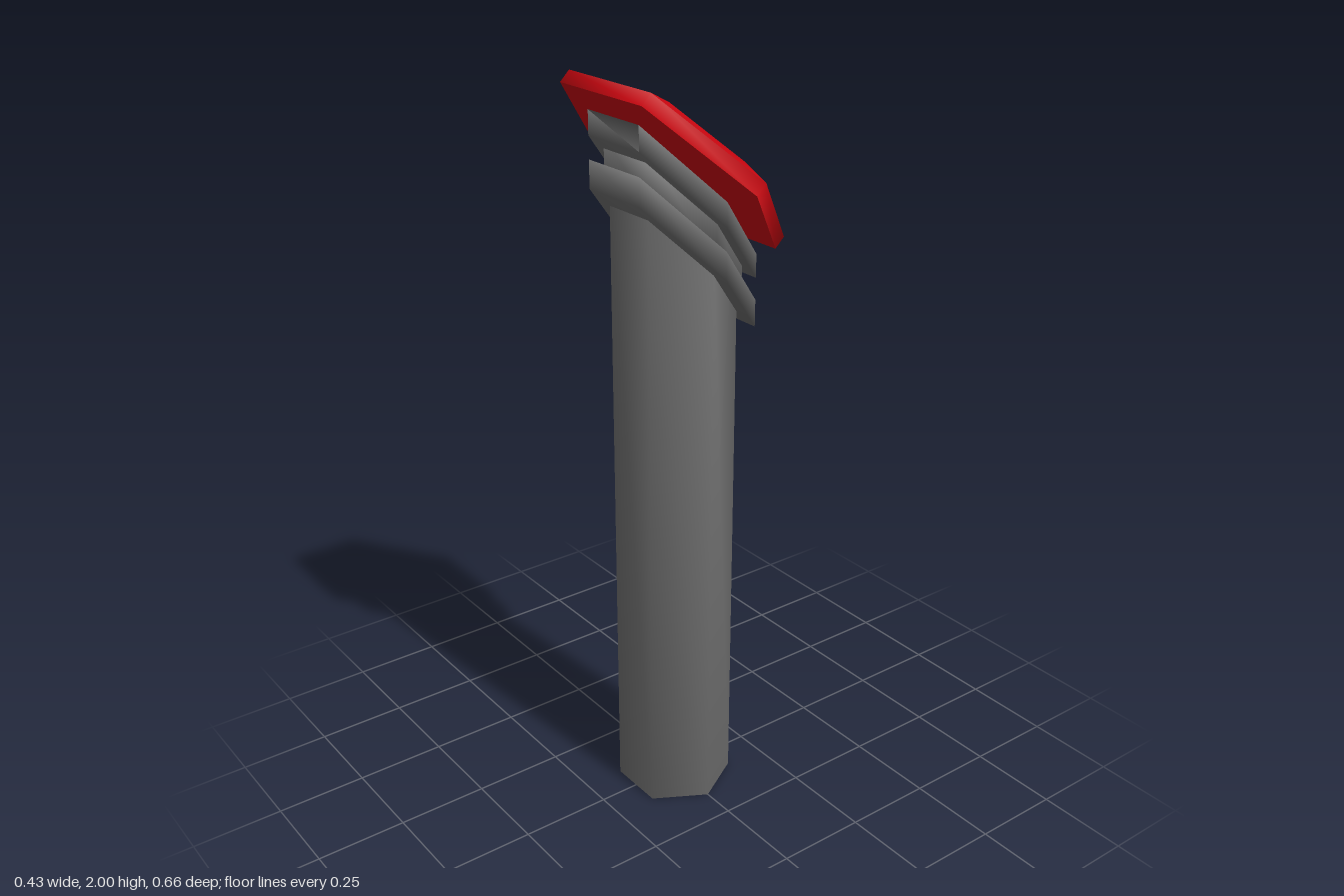
import * as THREE from 'three';
import { toCreasedNormals } from 'three/addons/utils/BufferGeometryUtils.js';

const SIDES = 6;

// Closed hexagonal loft; each ring is [radius, height, slope], corners on +z and -z
function hexLoft(rings) {
  const pos = [], idx = [];
  for (const [r, y, slope = 0] of rings) {
    for (let k = 0; k < SIDES; k++) {
      const a = (k / SIDES) * Math.PI * 2;
      const x = r * Math.sin(a);
      pos.push(x, y - slope * x, r * Math.cos(a));
    }
  }
  for (let i = 0; i < rings.length - 1; i++) {
    for (let k = 0; k < SIDES; k++) {
      const a = i * SIDES + k, b = i * SIDES + (k + 1) % SIDES;
      idx.push(a, b, a + SIDES, b, b + SIDES, a + SIDES);
    }
  }
  const top = (rings.length - 1) * SIDES;
  for (let k = 1; k < SIDES - 1; k++) {
    idx.push(0, k + 1, k, top, top + k, top + k + 1);
  }
  const g = new THREE.BufferGeometry();
  g.setAttribute('position', new THREE.Float32BufferAttribute(pos, 3));
  g.setIndex(idx);
  g.computeVertexNormals();
  return g;
}

export function createModel() {
  const model = new THREE.Group();
  const grey = new THREE.MeshStandardMaterial({ color: 0x707070 });
  const red = new THREE.MeshStandardMaterial({ color: 0xcf0610 });
  const add = (name, geometry, material, parent = model) => {
    const mesh = new THREE.Mesh(geometry, material);
    mesh.name = name;
    parent.add(mesh);
  };

  // Upright shaft with a slanted top
  add('shaft', hexLoft([[0.158, 0], [0.158, 1.58, 1.04]]), grey);

  // Slanted neck carrying two collars
  add('neck', hexLoft([[0.17, 1.58, 1.04], [0.17, 1.7, 1.04]]), grey);
  for (const [name, low, high] of [['lowerCollar', 1.54, 1.612], ['upperCollar', 1.67, 1.732]]) {
    add(name, hexLoft([[0.206, low, 1.04], [0.206, high, 1.04]]), grey);
  }

  // Tilted head: plate with a shallow raised face, on a short stem; sides shade smoothly round the rim
  const head = new THREE.Group();
  head.name = 'head';
  head.position.y = 1.7875;
  head.rotation.z = -Math.PI / 4;
  model.add(head);
  const plate = hexLoft([[0.328, -0.0185], [0.328, 0.0185], [0.22, 0.053]]);
  add('plate', toCreasedNormals(plate, 1.1), red, head);
  add('stem', toCreasedNormals(hexLoft([[0.07, -0.05], [0.07, 0]]), 1.1), red, head);

  return model;
}
